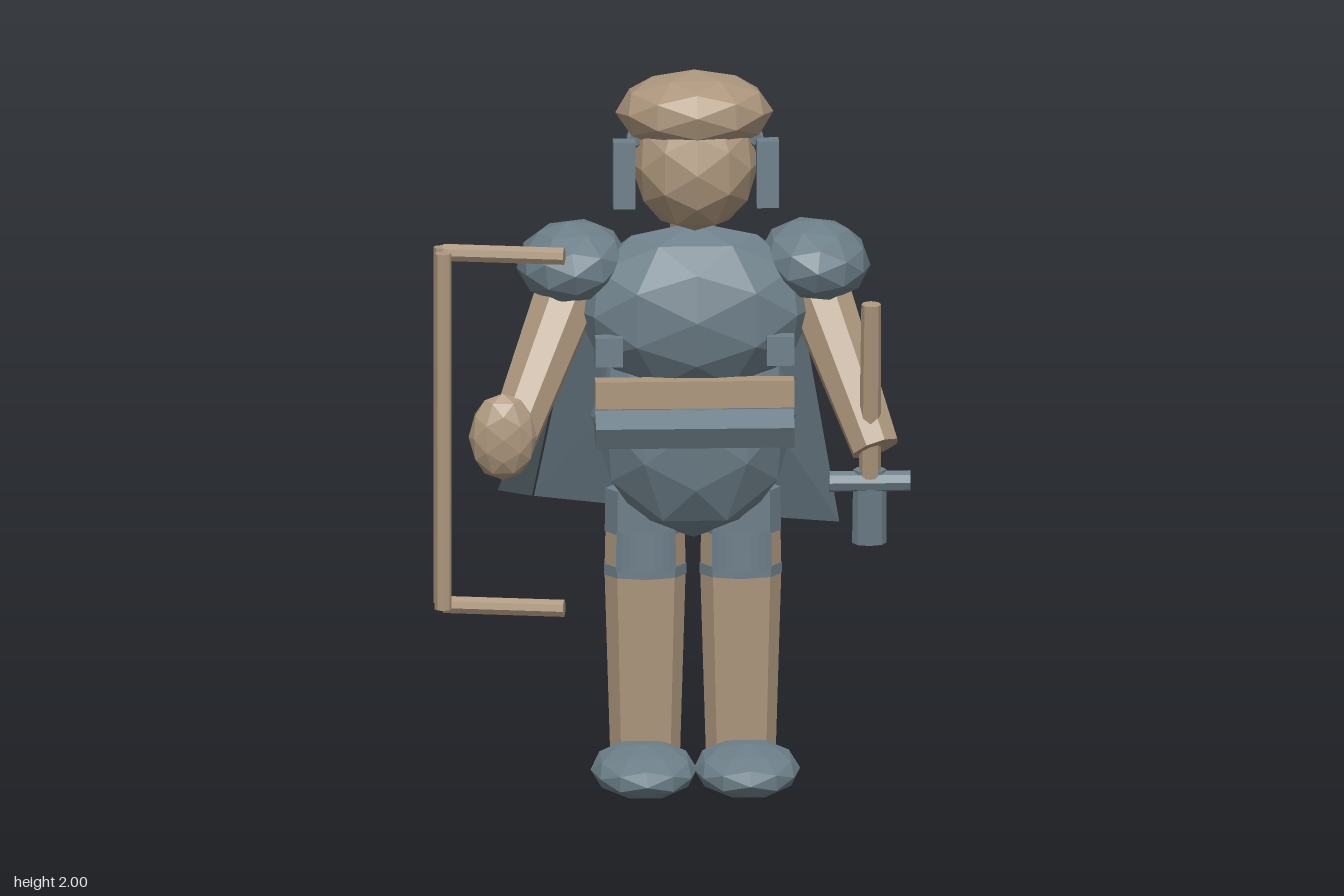
import * as THREE from 'three';

export function createModel() {
  const model = new THREE.Group();
  const tan = new THREE.MeshStandardMaterial({ color: 0xad977d, flatShading: true });
  const slate = new THREE.MeshStandardMaterial({ color: 0x6e808a, flatShading: true });
  const cloth = new THREE.MeshStandardMaterial({ color: 0x6e808a, flatShading: true, side: THREE.DoubleSide });
  tan.name = 'tan';
  slate.name = 'slate';
  cloth.name = 'slate cloth';

  const add = (name, geometry, material, position = [0, 0, 0]) => {
    const mesh = new THREE.Mesh(geometry, material);
    mesh.name = name;
    mesh.position.set(...position);
    model.add(mesh);
    return mesh;
  };
  // Faceted ellipsoid
  const blob = (name, material, position, radii, detail = 1) =>
    add(name, new THREE.IcosahedronGeometry(1, detail).scale(...radii), material, position);
  const box = (name, material, position, size) =>
    add(name, new THREE.BoxGeometry(...size), material, position);
  // Tapered eight-sided rod from a to b
  const rod = (name, material, a, b, ra, rb = ra) => {
    const from = new THREE.Vector3(...a), to = new THREE.Vector3(...b);
    const axis = to.clone().sub(from);
    const mesh = add(name, new THREE.CylinderGeometry(rb, ra, axis.length(), 8), material);
    mesh.position.copy(from).add(to).multiplyScalar(0.5);
    mesh.quaternion.setFromUnitVectors(new THREE.Vector3(0, 1, 0), axis.normalize());
    return mesh;
  };
  const cx = 0.07; // body centre line

  // Head, hair and neck
  blob('head', tan, [cx, 1.75, 0.112], [0.175, 0.19, 0.18]);
  blob('hair', tan, [cx, 1.885, 0.085], [0.215, 0.115, 0.207]).rotation.x = -0.12;
  rod('neck', tan, [cx, 1.45, -0.04], [cx, 1.75, 0.04], 0.065, 0.055);

  // Torso
  blob('chest', slate, [cx, 1.335, 0.075], [0.325, 0.24, 0.195]);
  blob('belly', slate, [cx, 1.03, 0.035], [0.28, 0.34, 0.18]);
  box('belt', tan, [0.065, 1.132, 0.215], [0.54, 0.075, 0.06]);
  box('lowerBelt', slate, [0.065, 1.032, 0.22], [0.54, 0.07, 0.08]).rotation.x = 0.5;

  for (const side of [-1, 1]) {
    // Side plates, chest buckles and pauldrons
    box('earPlate', slate, [cx + side * 0.195, 1.735, 0.183], [0.06, 0.185, 0.055]);
    blob('templeStud', slate, [cx + side * 0.16, 1.825, 0.125], [0.03, 0.035, 0.04], 0);
    box('chestBuckle', slate, [0.065 + side * 0.233, 1.25, 0.215], [0.075, 0.08, 0.05]);
    blob('shoulderPad', slate, [cx + side * 0.33, 1.46, 0.03], [0.152, 0.11, 0.2])
      .rotation.z = -side * 0.12;

    // Legs: shin, knee band, thigh, trouser hem and front knee plate
    const x = cx + side * 0.13;
    const tube = (name, material, y0, y1, r0, r1, start = 0, sweep = Math.PI * 2) => {
      const g = new THREE.CylinderGeometry(r1, r0, y1 - y0, 8, 1, sweep < 6, start, sweep);
      add(name, g.scale(1, 1, 0.7), material, [x, (y0 + y1) / 2, -0.003]);
    };
    tube('shin', tan, 0.08, 0.58, 0.095, 0.11);
    tube('kneeBand', slate, 0.58, 0.61, 0.112, 0.112);
    tube('thigh', tan, 0.61, 0.7, 0.11, 0.108);
    tube('trouserHem', slate, 0.7, 0.82, 0.11, 0.108);
    tube('kneePlate', cloth, 0.6, 0.71, 0.115, 0.114, -Math.PI / 4, Math.PI / 2);
    blob('shoe', slate, [cx + side * 0.14, 0.07, 0.145], [0.145, 0.068, 0.238]);
  }

  // Arms and bow hand
  rod('rightArm', tan, [-0.24, 1.45, 0], [-0.45, 0.98, 0.28], 0.095, 0.068);
  rod('leftArm', tan, [0.38, 1.45, 0], [0.555, 0.98, 0.25], 0.095, 0.068);
  blob('rightHand', tan, [-0.463, 1.05, 0.372], [0.093, 0.12, 0.053]);

  // Bow: stave, string and two limbs
  for (const z of [0.285, 0.365])
    rod('bowBar', tan, [-0.625, 0.57, z], [-0.625, 1.56, z], 0.023);
  for (const y of [0.565, 1.545])
    rod('bowLimb', tan, [-0.62, y, 0.285], [-0.295, y, 0.347], 0.025);

  // Sword
  rod('swordBlade', tan, [0.54, 0.9, 0.24], [0.542, 1.39, 0.288], 0.03, 0.027);
  rod('swordGuard', slate, [0.43, 0.887, 0.24], [0.65, 0.887, 0.24], 0.029);
  rod('swordGrip', slate, [0.54, 0.71, 0.215], [0.54, 0.92, 0.24], 0.047, 0.045).scale.z = 0.6;

  // Cape: back panel and a separate folded side panel
  const panel = (name, points, faces) => {
    const g = new THREE.BufferGeometry();
    g.setAttribute('position', new THREE.Float32BufferAttribute(points.flat(), 3));
    g.setIndex(faces.flat());
    const flat = g.toNonIndexed();
    flat.computeVertexNormals();
    add(name, flat, cloth);
  };
  panel('capeBack', [
    [0.35, 1.4, -0.11], [0.07, 1.3, -0.14], [-0.23, 1.38, -0.11],
    [0.485, 0.63, -0.4], [0.03, 0.66, -0.43], [-0.345, 0.71, -0.4],
  ], [[0, 3, 1], [1, 3, 4], [1, 4, 5], [1, 5, 2]]);
  panel('capeSide', [
    [-0.24, 1.38, -0.1], [-0.35, 0.71, -0.4], [-0.455, 0.79, -0.12], [-0.27, 1.36, -0.04],
  ], [[0, 1, 2], [0, 2, 3]]);

  return model;
}
